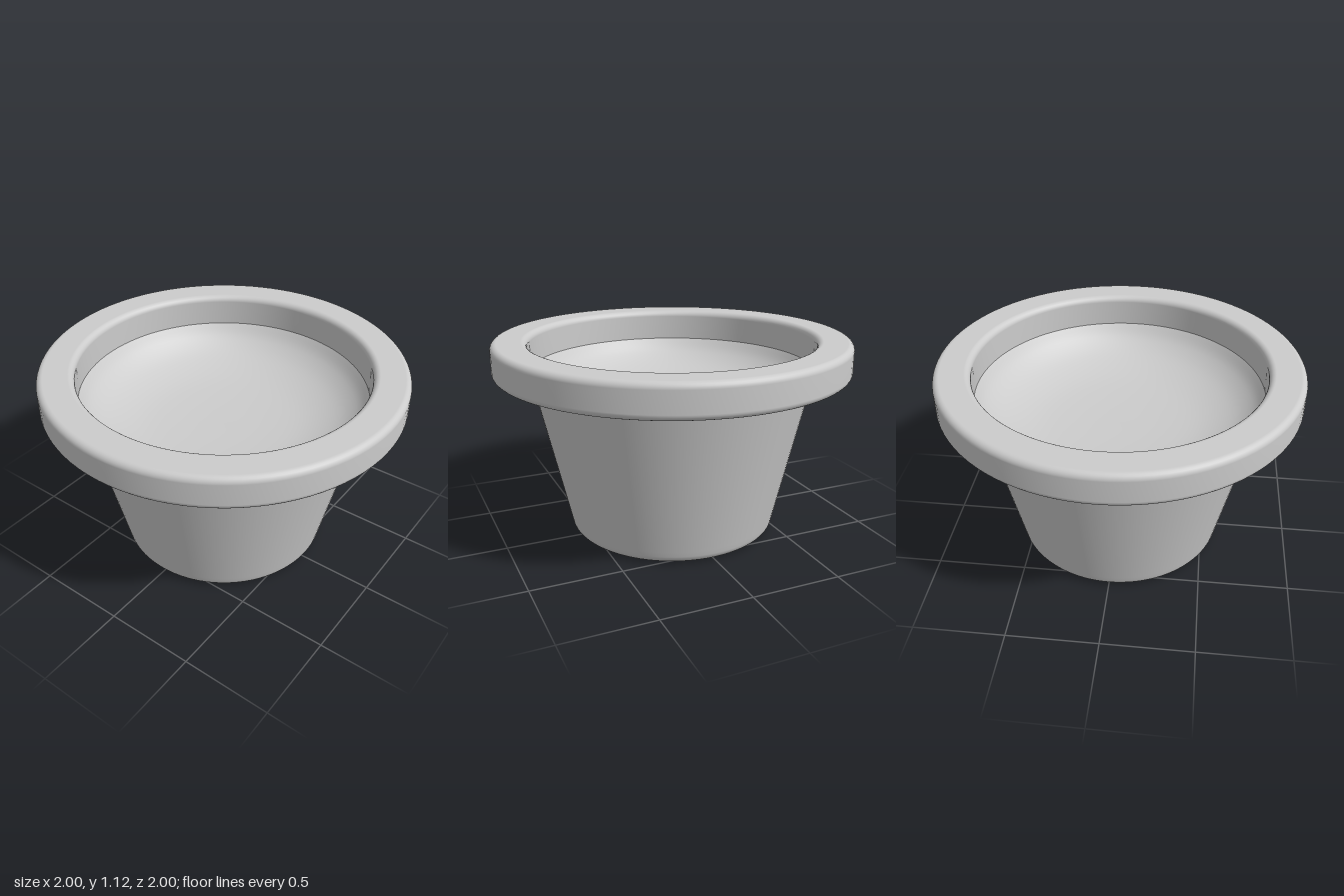
import * as THREE from 'three';

const SEGMENTS = 96;

// Turns a profile of [radius, height] points into a named round part.
function turned(name, points) {
  const profile = points.map(([r, y]) => new THREE.Vector2(r, y));
  const mesh = new THREE.Mesh(
    new THREE.LatheGeometry(profile, SEGMENTS),
    new THREE.MeshStandardMaterial({ color: 0xcccccc, roughness: 0.8 })
  );
  mesh.name = name;
  return mesh;
}

// Quarter-round corner, swept counter-clockwise from a start angle.
function corner(cx, cy, radius, startAngle, sweep = Math.PI / 2, steps = 6) {
  return Array.from({ length: steps + 1 }, (_, i) => {
    const a = startAngle + (sweep * i) / steps;
    return [cx + radius * Math.cos(a), cy + radius * Math.sin(a)];
  });
}

export function createModel() {
  const model = new THREE.Group();
  model.name = 'pot';

  // Tapered body with a softly rounded foot
  const lean = Math.atan2(0.2, 0.88);
  model.add(turned('body', [
    [0, 0], [0.5, 0],
    ...corner(0.535, 0.06, 0.06, -Math.PI / 2, Math.PI / 2 - lean),
    [0.6, 0.075], [0.79, 0.91], [0.796, 0.94],
  ]));

  // Thick collar with rounded edges
  const inner = 0.8, outer = 1, low = 0.93, high = 1.115, f = 0.035;
  model.add(turned('rim', [
    [0.79, low], [outer - f - 0.01, low],
    ...corner(outer - f, low + f, f, -Math.PI / 2),
    ...corner(outer - f, high - f, f, 0),
    ...corner(inner + f, high - f, f, Math.PI / 2),
    [inner, low + 0.02], [inner, low],
  ]));

  // Shallow dished inside, steepest at the wall
  const dish = new THREE.SplineCurve([
    [0.8, 0.935], [0.74, 0.86], [0.63, 0.79], [0.46, 0.74], [0.24, 0.72], [0, 0.715],
  ].map(([r, y]) => new THREE.Vector2(r, y)));
  model.add(turned('dishedInside', dish.getPoints(24).map((p) => [Math.max(p.x, 0), p.y])));

  return model;
}
